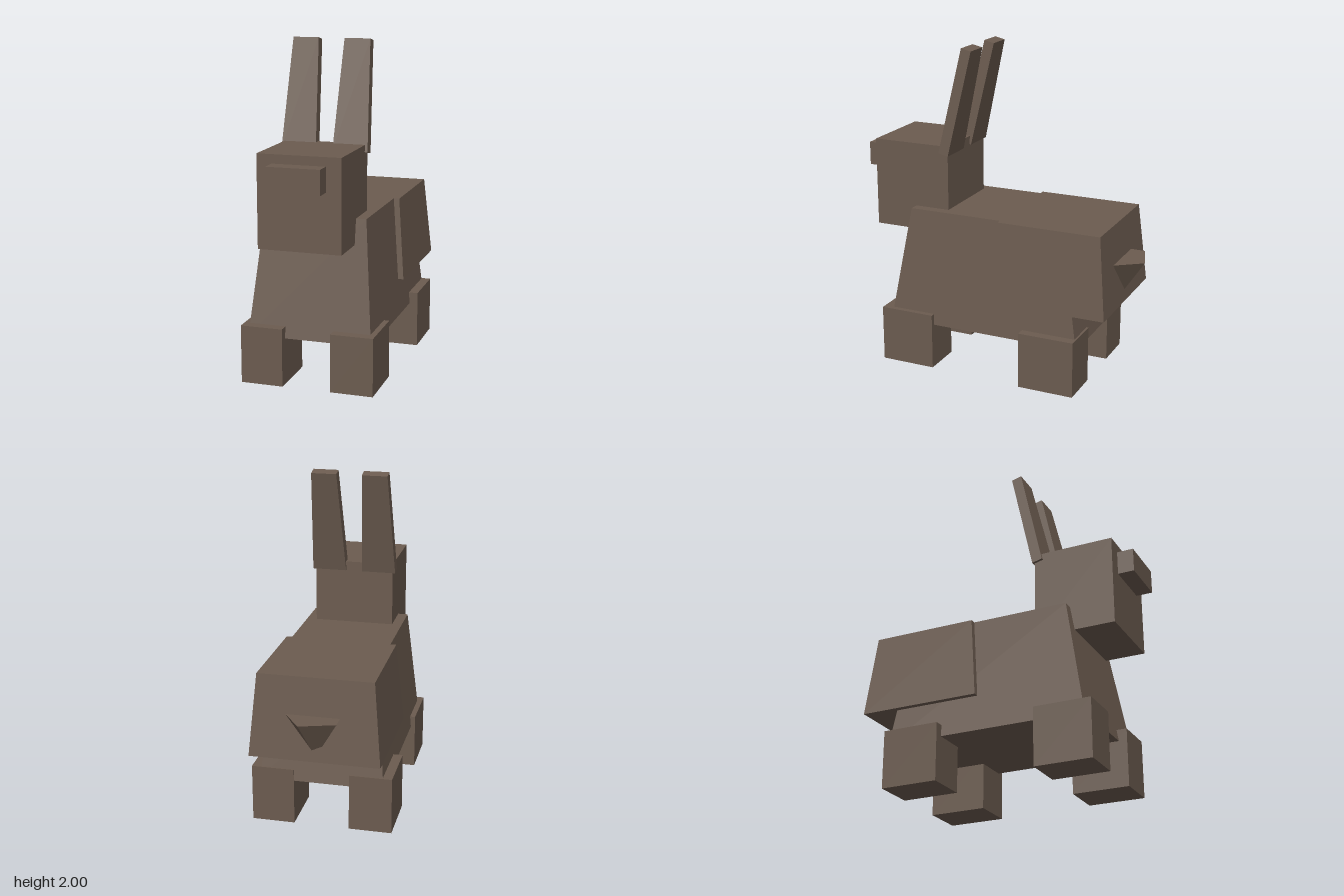
import * as THREE from 'three';

const fur = new THREE.MeshStandardMaterial({ color: 0x6b5b4f, flatShading: true });

function add(parent, name, geometry) {
  const mesh = new THREE.Mesh(geometry, fur);
  mesh.name = name;
  parent.add(mesh);
  return mesh;
}

// Box given by its lower and upper corners
function block(parent, name, [x0, y0, z0], [x1, y1, z1]) {
  const mesh = add(parent, name, new THREE.BoxGeometry(x1 - x0, y1 - y0, z1 - z0));
  mesh.position.set((x0 + x1) / 2, (y0 + y1) / 2, (z0 + z1) / 2);
  return mesh;
}

// Box whose top is narrower than its bottom, centred on its own origin
function taperedBox(w, h, d, topW, topD) {
  const geometry = new THREE.BoxGeometry(w, h, d);
  const p = geometry.attributes.position;
  for (let i = 0; i < p.count; i++) {
    if (p.getY(i) > 0) {
      p.setX(i, p.getX(i) * topW / w);
      p.setZ(i, p.getZ(i) * topD / d);
    }
  }
  geometry.computeVertexNormals();
  return geometry;
}

export function createModel() {
  const model = new THREE.Group();
  model.name = 'rabbit';

  // Body and the wider hindquarters over it
  add(model, 'body', taperedBox(0.752, 0.72, 1.244, 0.62, 0.998)).position.set(0, 0.64, 0.027);
  add(model, 'hindquarters', taperedBox(0.78, 0.5, 0.748, 0.69, 0.648)).position.set(0, 0.75, -0.396);

  // Head and snout
  block(model, 'head', [-0.248, 0.85, 0.303], [0.248, 1.398, 0.8]);
  block(model, 'snout', [-0.158, 1.2, 0.79], [0.158, 1.345, 0.9]);

  // Five-sided tail, pointing down into the hindquarters
  add(model, 'tail', new THREE.CylinderGeometry(0.185, 0, 0.26, 5, 1, false, Math.PI / 2))
    .position.set(0, 0.643, -0.724);

  // Ears and legs, mirrored
  for (const side of [1, -1]) {
    const label = side > 0 ? 'left' : 'right';

    const ear = add(model, label + 'Ear', taperedBox(0.214, 0.66, 0.065, 0.157, 0.065));
    ear.position.set(side * 0.158, 1.671, 0.252);
    ear.rotation.x = -0.225;

    const frontLeg = block(model, label + 'FrontLeg', [0.147, 0, 0.352], [0.403, 0.35, 0.7]);
    const hindLeg = block(model, label + 'HindLeg', [0.168, 0, -0.595], [0.427, 0.35, -0.245]);
    frontLeg.position.x *= side;
    hindLeg.position.x *= side;
  }

  return model;
}
